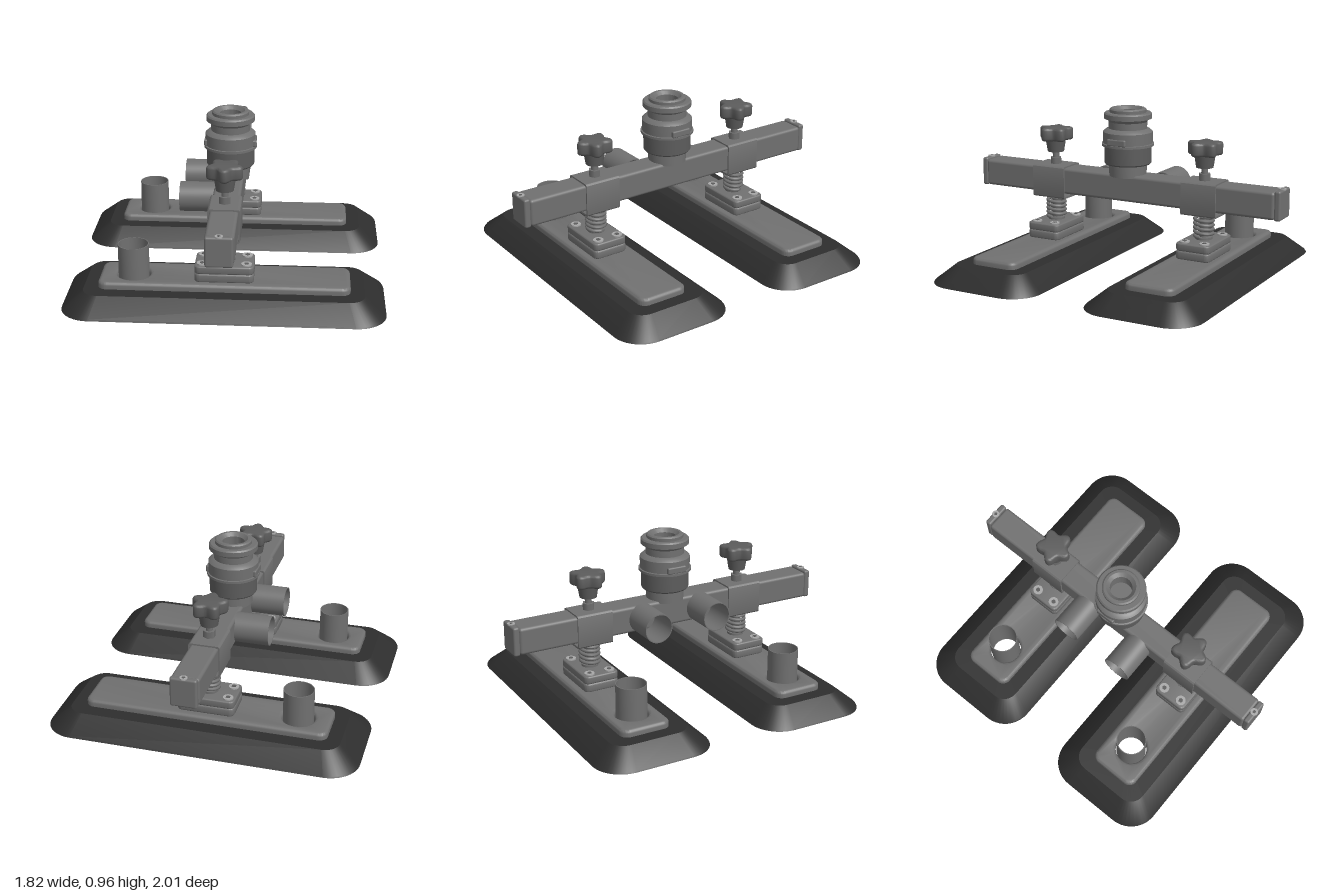
import * as THREE from 'three';
import { toCreasedNormals } from 'three/addons/utils/BufferGeometryUtils.js';
import { RoundedBoxGeometry } from 'three/addons/geometries/RoundedBoxGeometry.js';

const mat = (name, color) => Object.assign(new THREE.MeshStandardMaterial({ color }), { name });

// rounded rectangle shape with half sizes a, b and corner radius r
function roundedRect(a, b, r) {
  const s = new THREE.Shape();
  s.absarc(a - r, b - r, r, 0, Math.PI / 2);
  s.absarc(-a + r, b - r, r, Math.PI / 2, Math.PI);
  s.absarc(-a + r, -b + r, r, Math.PI, Math.PI * 1.5);
  s.absarc(a - r, -b + r, r, Math.PI * 1.5, Math.PI * 2);
  s.closePath();
  return s;
}

function circleHole(x, y, r) {
  const p = new THREE.Path();
  p.absarc(x, y, r, 0, Math.PI * 2, true);
  return p;
}

// upright slab standing on y = 0 with bevelled edges inside its outline
function slab(shape, height, bevel, curveSegments = 8) {
  const g = new THREE.ExtrudeGeometry(shape, {
    depth: height - 2 * bevel, bevelEnabled: true, bevelSize: bevel, bevelThickness: bevel,
    bevelOffset: -bevel, bevelSegments: 3, curveSegments,
  });
  g.translate(0, 0, bevel).rotateX(-Math.PI / 2);
  return toCreasedNormals(g, 0.6);
}

function turned(points, segments = 48) {
  const g = new THREE.LatheGeometry(points.map(p => new THREE.Vector2(...p)), segments);
  return toCreasedNormals(g, 0.6);
}

const pipe = (r, wall, length) =>
  turned([[r, 0], [r, length], [r - wall, length], [r - wall, 0], [r, 0]]);

// closed band through rounded rectangles; each ring is [halfX, halfZ, radius, y]
function loftRings(rings, seg = 10) {
  const pos = [], idx = [], n = 4 * (seg + 1);
  for (const [a, b, r, y] of rings) {
    for (let c = 0; c < 4; c++) {
      const sx = c === 0 || c === 3 ? 1 : -1, sz = c < 2 ? 1 : -1;
      for (let k = 0; k <= seg; k++) {
        const t = (c + k / seg) * Math.PI / 2;
        pos.push(sx * (a - r) + r * Math.cos(t), y, sz * (b - r) + r * Math.sin(t));
      }
    }
  }
  for (let i = 0; i < rings.length - 1; i++) {
    for (let j = 0; j < n; j++) {
      const a = i * n + j, b = i * n + (j + 1) % n;
      idx.push(a, a + n, b, b, a + n, b + n);
    }
  }
  const g = new THREE.BufferGeometry();
  g.setAttribute('position', new THREE.Float32BufferAttribute(pos, 3));
  g.setIndex(idx);
  return toCreasedNormals(g, 0.5);
}

// coil of the given radius rising from y0 to y1
function coil(radius, wire, y0, y1, turns) {
  const pts = [];
  for (let i = 0; i <= turns * 16; i++) {
    const t = i / 16 * Math.PI * 2;
    pts.push(new THREE.Vector3(radius * Math.cos(t), y0 + (y1 - y0) * i / (turns * 16), radius * Math.sin(t)));
  }
  return new THREE.TubeGeometry(new THREE.CatmullRomCurve3(pts), turns * 24, wire, 8);
}

export function createModel() {
  const metal = mat('grey metal', 0x707070);
  const dark = mat('dark grey plastic', 0x5c5c5c);
  const rubber = mat('black rubber', 0x2e2e2e);
  const steel = mat('bright steel', 0xa8a8a8);

  const model = new THREE.Group();
  model.name = 'doublePadGripper';
  const add = (parent, name, geometry, material, x = 0, y = 0, z = 0) => {
    const m = new THREE.Mesh(geometry, material);
    m.name = name;
    m.position.set(x, y, z);
    parent.add(m);
    return m;
  };
  const cyl = (r, h, n = 32, rBottom = r) => new THREE.CylinderGeometry(r, rBottom, h, n);

  // rubber skirt with a ridged underside
  const rings = [[0.91, 0.35, 0.175, 0], [0.905, 0.345, 0.17, 0.008], [0.79, 0.235, 0.09, 0.1],
    [0.70, 0.145, 0.05, 0.1], [0.70, 0.145, 0.05, 0.05]];
  const ridges = 8;
  for (let i = 0; i <= ridges * 2; i++) {
    const t = i / (ridges * 2), d = t * 0.17;
    rings.push([0.71 + d, 0.155 + d, 0.05 + t * 0.1, 0.045 * (1 - t) + (i % 2 ? 0.012 : 0.003)]);
  }
  rings.push([0.91, 0.35, 0.175, 0]);
  const skirt = loftRings(rings);

  // base plate pierced by the suction port
  const plateShape = roundedRect(0.71, 0.15, 0.05);
  plateShape.holes.push(circleHole(-0.52, 0, 0.094));
  const plate = slab(plateShape, 0.08, 0.018, 16);

  // five-lobed knob head
  const star = new THREE.Shape();
  for (let i = 0; i < 60; i++) {
    const t = i / 60 * Math.PI * 2, r = 0.09 + 0.016 * Math.cos(5 * (t + Math.PI / 2));
    star[i ? 'lineTo' : 'moveTo'](r * Math.cos(t), r * Math.sin(t));
  }
  star.closePath();
  const knobHead = slab(star, 0.08, 0.016);

  // sleeve that slides along the beam
  const sleeveShape = roundedRect(0.091, 0.1, 0.015);
  sleeveShape.holes.push(roundedRect(0.082, 0.088, 0.008));
  const sleeve = toCreasedNormals(
    new THREE.ExtrudeGeometry(sleeveShape, { depth: 0.22, bevelEnabled: false }).translate(0, 0, -0.11), 0.6);

  for (const side of [1, -1]) {
    const pad = new THREE.Group();
    pad.name = side > 0 ? 'frontSuctionPad' : 'backSuctionPad';
    pad.position.z = side * 0.503;
    model.add(pad);
    add(pad, 'skirt', skirt, rubber);
    add(pad, 'basePlate', plate, metal, 0, 0.06);
    add(pad, 'suctionPort', pipe(0.088, 0.005, 0.26), metal, -0.52, 0.06);

    // mounting block in two layers, with four bolts
    add(pad, 'lowerMount', slab(roundedRect(0.167, 0.107, 0.03), 0.05, 0.008), metal, 0, 0.138);
    add(pad, 'upperMount', slab(roundedRect(0.167, 0.107, 0.03), 0.046, 0.008), metal, 0, 0.188);
    for (const x of [-0.125, 0.125]) for (const z of [-0.063, 0.063]) {
      add(pad, 'bolt', cyl(0.03, 0.012, 24), steel, x, 0.236, z);
      add(pad, 'boltSocket', cyl(0.014, 0.004, 6), dark, x, 0.242, z);
    }

    // sprung post
    add(pad, 'springSeat', cyl(0.05, 0.014), metal, 0, 0.24);
    add(pad, 'post', cyl(0.026, 0.2), metal, 0, 0.33);
    add(pad, 'spring', coil(0.054, 0.01, 0.25, 0.375, 5), metal);

    // clamp and knob
    add(pad, 'clampSleeve', sleeve, metal, 0, 0.482);
    add(pad, 'clampNut', cyl(0.036, 0.04, 6), metal, 0, 0.602);
    add(pad, 'knobStem', cyl(0.02, 0.1, 20), metal, 0, 0.63);
    add(pad, 'knobHub', cyl(0.062, 0.075, 32, 0.05), dark, 0, 0.695);
    add(pad, 'knobHead', knobHead, dark, 0, 0.728);

    // beam end cap with its screw
    add(model, 'endCap', new RoundedBoxGeometry(0.152, 0.172, 0.038, 3, 0.012), metal, 0, 0.496, side * 0.981);
    add(model, 'endCapScrew', cyl(0.022, 0.008, 20), steel, 0, 0.582, side * 0.982);
    add(model, 'endCapSocket', cyl(0.01, 0.003, 6), dark, 0, 0.586, side * 0.982);

    // hose connector on the right of the beam
    const hose = add(model, 'hoseConnector', pipe(0.087, 0.005, 0.21), metal, -0.07, 0.494, side * 0.193);
    hose.rotation.z = Math.PI / 2;
  }

  // cross beam
  add(model, 'beam', new RoundedBoxGeometry(0.16, 0.16, 1.93, 3, 0.018), metal, 0, 0.493);

  // central coupling: neck, dark body, flange and grooved collar with an open bore
  add(model, 'couplingNeck', turned([[0, 0.56], [0.112, 0.56], [0.112, 0.64], [0, 0.64]]), metal);
  add(model, 'couplingBody', turned([[0, 0.632], [0.134, 0.632], [0.14, 0.64], [0.14, 0.742], [0, 0.742]]), dark);
  add(model, 'couplingCollar', turned([
    [0, 0.742], [0.155, 0.742], [0.155, 0.756], [0.147, 0.758], [0.147, 0.825], [0.13, 0.84],
    [0.114, 0.845], [0.114, 0.885], [0.125, 0.9], [0.142, 0.904], [0.142, 0.932], [0.134, 0.94],
    [0.108, 0.94], [0.108, 0.957], [0.1, 0.964], [0.085, 0.964], [0.064, 0.945], [0.064, 0.86], [0, 0.86],
  ]), metal);
  for (let i = 0; i < 2; i++) {
    const lug = add(model, 'collarLug', new RoundedBoxGeometry(0.06, 0.04, 0.12, 2, 0.008), metal, i ? 0.122 : -0.122, 0.775);
    lug.rotation.y = i * Math.PI;
  }
  return model;
}
